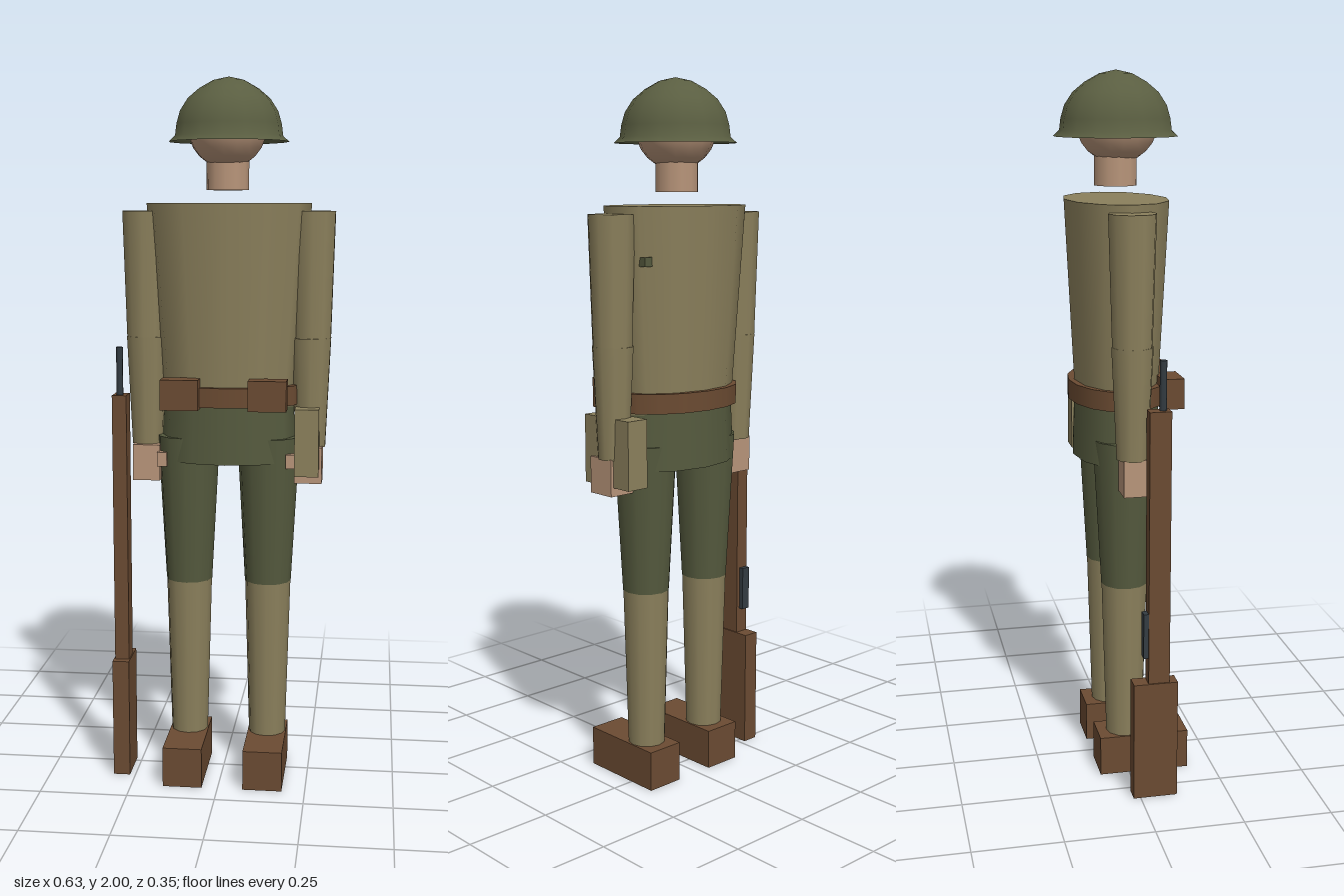
import * as THREE from 'three';

const mat = (name, color, side = THREE.FrontSide) => {
  const m = new THREE.MeshStandardMaterial({ color, side });
  m.name = name;
  return m;
};

export function createModel() {
  const khaki = mat('khaki cloth', 0x8b805c);
  const green = mat('dark green cloth', 0x555a3e);
  const helmetGreen = mat('helmet green', 0x5a5e41, THREE.DoubleSide);
  const brown = mat('brown leather and wood', 0x6b4b32);
  const skin = mat('skin', 0xb8957a);
  const steel = mat('dark steel', 0x343c42);

  const model = new THREE.Group();
  model.name = 'soldier';
  const CX = 0.013, CZ = -0.006; // centre line of the body

  const add = (name, geo, material, x = 0, y = 0, z = 0) => {
    const mesh = new THREE.Mesh(geo, material);
    mesh.name = name;
    mesh.position.set(x, y, z);
    model.add(mesh);
    return mesh;
  };
  // Box given by its limits on each axis
  const box = (name, material, x0, x1, y0, y1, z0, z1) =>
    add(name, new THREE.BoxGeometry(x1 - x0, y1 - y0, z1 - z0), material,
      (x0 + x1) / 2, (y0 + y1) / 2, (z0 + z1) / 2);
  // Upright tapered cylinder between two heights
  const tube = (name, material, x, z, y0, y1, rBottom, rTop, sides = 12, depth = 1) => {
    const mesh = add(name, new THREE.CylinderGeometry(rTop, rBottom, y1 - y0, sides), material, x, (y0 + y1) / 2, z);
    mesh.scale.z = depth;
    return mesh;
  };

  // Helmet: dome with a flared brim
  const profile = [[0.168, 1.824], [0.151, 1.84], [0.147, 1.872], [0.137, 1.907], [0.115, 1.941],
    [0.083, 1.968], [0.044, 1.99], [0, 2]].map(([r, y]) => new THREE.Vector2(r, y));
  add('helmet', new THREE.LatheGeometry(profile, 15), helmetGreen, CX, 0, -0.004).scale.z = 1.03;

  // Head and neck
  add('head', new THREE.SphereGeometry(0.11, 16, 12), skin, CX - 0.004, 1.862, -0.002).scale.z = 1.04;
  tube('neck', skin, CX - 0.003, CZ, 1.692, 1.78, 0.06, 0.06, 12);

  // Trunk
  tube('torso', khaki, CX, CZ, 1.075, 1.656, 0.186, 0.233, 12, 0.62);
  tube('pelvis', green, CX, CZ, 0.932, 1.1, 0.195, 0.186, 12, 0.64);
  tube('belt', brown, CX, CZ, 1.095, 1.15, 0.205, 0.205, 16, 0.66);
  box('shoulderPatch', green, 0.18, 0.206, 1.497, 1.522, -0.093, -0.065);

  for (const s of [-1, 1]) {
    const side = s > 0 ? 'left' : 'right';

    // Belt pouch
    const px = CX + s * 0.122;
    box(side + 'BeltPouch', brown, px - 0.053, px + 0.053, 1.09, 1.175, 0.09, 0.153);

    // Leg, puttee and boot
    const lx = CX + s * 0.115;
    tube(side + 'Thigh', green, lx, CZ + 0.002, 0.575, 1.0, 0.067, 0.09, 12);
    tube(side + 'Puttee', khaki, lx, CZ + 0.002, 0.1, 0.59, 0.053, 0.0665, 12);
    box(side + 'Boot', brown, lx - 0.056, lx + 0.056, 0, 0.115, -0.085, 0.175);

    // Arm and hand
    const ax = CX + s * 0.237;
    tube(side + 'UpperArm', khaki, ax, -0.008, 1.27, 1.635, 0.055, 0.0655, 10);
    tube(side + 'Forearm', khaki, ax - s * 0.002, -0.007, 0.972, 1.282, 0.044, 0.058, 10);
    const hx = ax - s * 0.006;
    box(side + 'Hand', skin, hx - 0.039, hx + 0.039, 0.872, 0.975, -0.037, 0.05);
    const tx = hx - s * 0.048;
    box(side + 'Thumb', skin, tx - 0.014, tx + 0.014, 0.917, 0.957, 0.018, 0.07);
  }

  // Haversack on the left hip
  box('haversack', khaki, 0.207, 0.275, 0.897, 1.088, -0.1, 0.082);

  // Rifle standing by the right side
  box('rifleButt', brown, -0.314, -0.266, 0, 0.345, -0.02, 0.105);
  box('rifleStock', brown, -0.31, -0.269, 0.34, 1.12, 0.022, 0.082);
  tube('rifleBarrel', steel, -0.29, 0.062, 1.1, 1.256, 0.01, 0.01, 6);
  box('rifleBolt', steel, -0.307, -0.28, 0.42, 0.55, 0.008, 0.03);

  return model;
}
